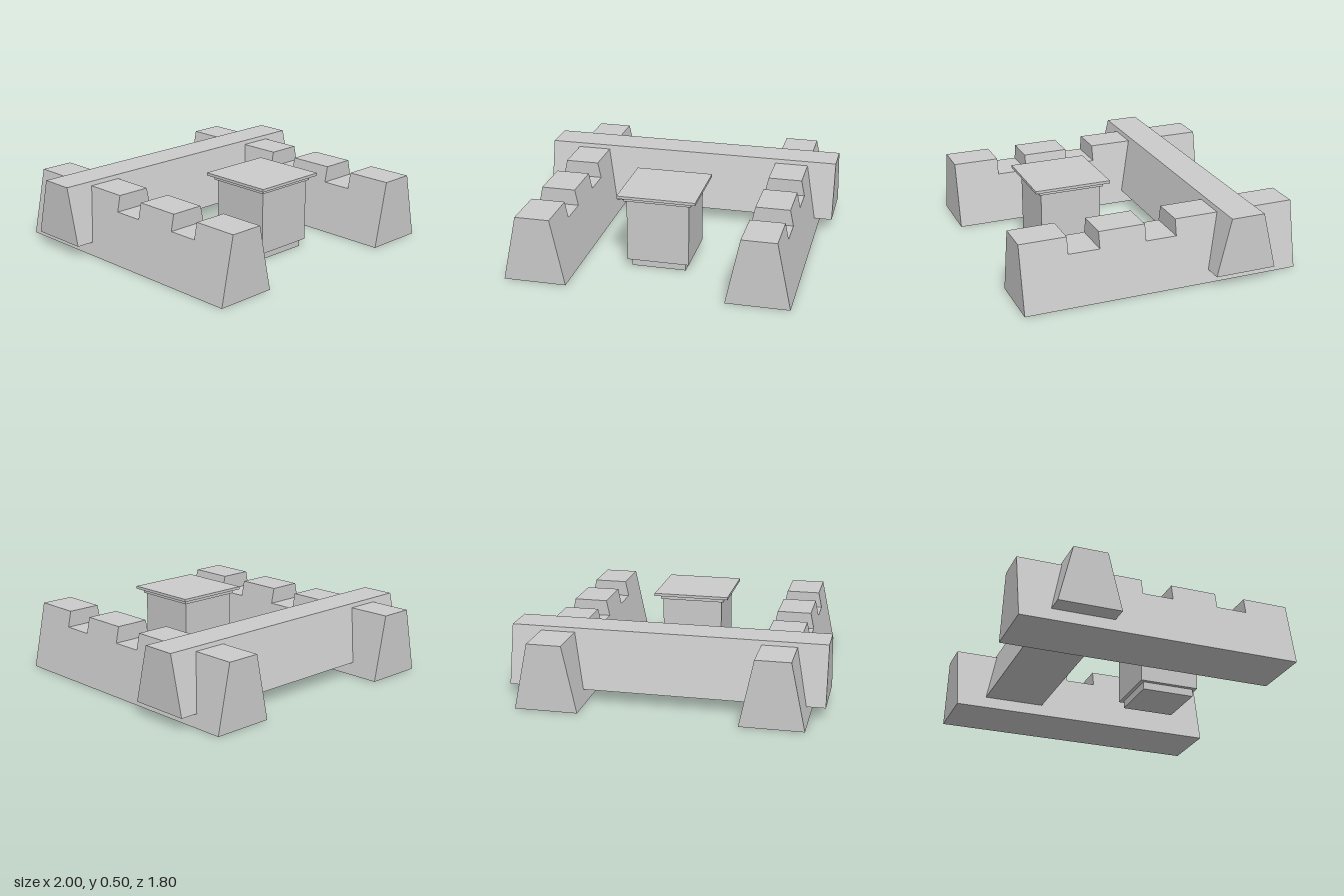
import * as THREE from 'three';

const material = new THREE.MeshStandardMaterial({ color: 0xcccccc, flatShading: true });

// Extrudes a side outline along z, narrowing from `base` wide at y = 0 to `top` wide at y = height
function taperedBar(outline, base, top, height) {
  const shape = new THREE.Shape(outline.map(([x, y]) => new THREE.Vector2(x, y)));
  const geometry = new THREE.ExtrudeGeometry(shape, { depth: 1, bevelEnabled: false });
  geometry.translate(0, 0, -0.5);
  const p = geometry.attributes.position;
  for (let i = 0; i < p.count; i++) {
    p.setZ(i, p.getZ(i) * THREE.MathUtils.lerp(base, top, p.getY(i) / height));
  }
  geometry.computeVertexNormals();
  return geometry;
}

function addMesh(parent, name, geometry, x, y, z) {
  const mesh = new THREE.Mesh(geometry, material);
  mesh.name = name;
  mesh.position.set(x, y, z);
  parent.add(mesh);
  return mesh;
}

export function createModel() {
  const model = new THREE.Group();
  model.name = 'notchedFrameWithPedestal';

  // Side rails with two square notches cut in the top
  const top = 0.427, notch = 0.323;
  const railOutline = [
    [-0.9, 0], [0.9, 0], [0.9, top],
    [0.1, top], [0.1, notch], [-0.1, notch], [-0.1, top],
    [-0.4, top], [-0.4, notch], [-0.6, notch], [-0.6, top],
    [-0.9, top],
  ];
  const railGeometry = taperedBar(railOutline, 0.4, 0.22, top);
  railGeometry.rotateY(Math.PI / 2);
  addMesh(model, 'leftRail', railGeometry, 0.7, 0, 0);
  addMesh(model, 'rightRail', railGeometry, -0.7, 0, 0);

  // Cross beam running through both rails near the back
  const beamHeight = 0.372;
  const beamOutline = [[-1, 0], [1, 0], [1, beamHeight], [-1, beamHeight]];
  addMesh(model, 'crossBeam', taperedBar(beamOutline, 0.4, 0.22, beamHeight), 0, 0.082, -0.5);

  // Stepped square pedestal between the rails: name, width, bottom, top
  const pedestal = new THREE.Group();
  pedestal.name = 'pedestal';
  pedestal.position.z = 0.35;
  model.add(pedestal);
  const steps = [
    ['pedestalFoot', 0.35, 0, 0.05],
    ['pedestalBody', 0.4, 0.05, 0.454],
    ['pedestalNeck', 0.43, 0.454, 0.482],
    ['pedestalTop', 0.5, 0.482, 0.5],
  ];
  for (const [name, width, low, high] of steps) {
    addMesh(pedestal, name, new THREE.BoxGeometry(width, high - low, width), 0, (low + high) / 2, 0);
  }

  return model;
}
